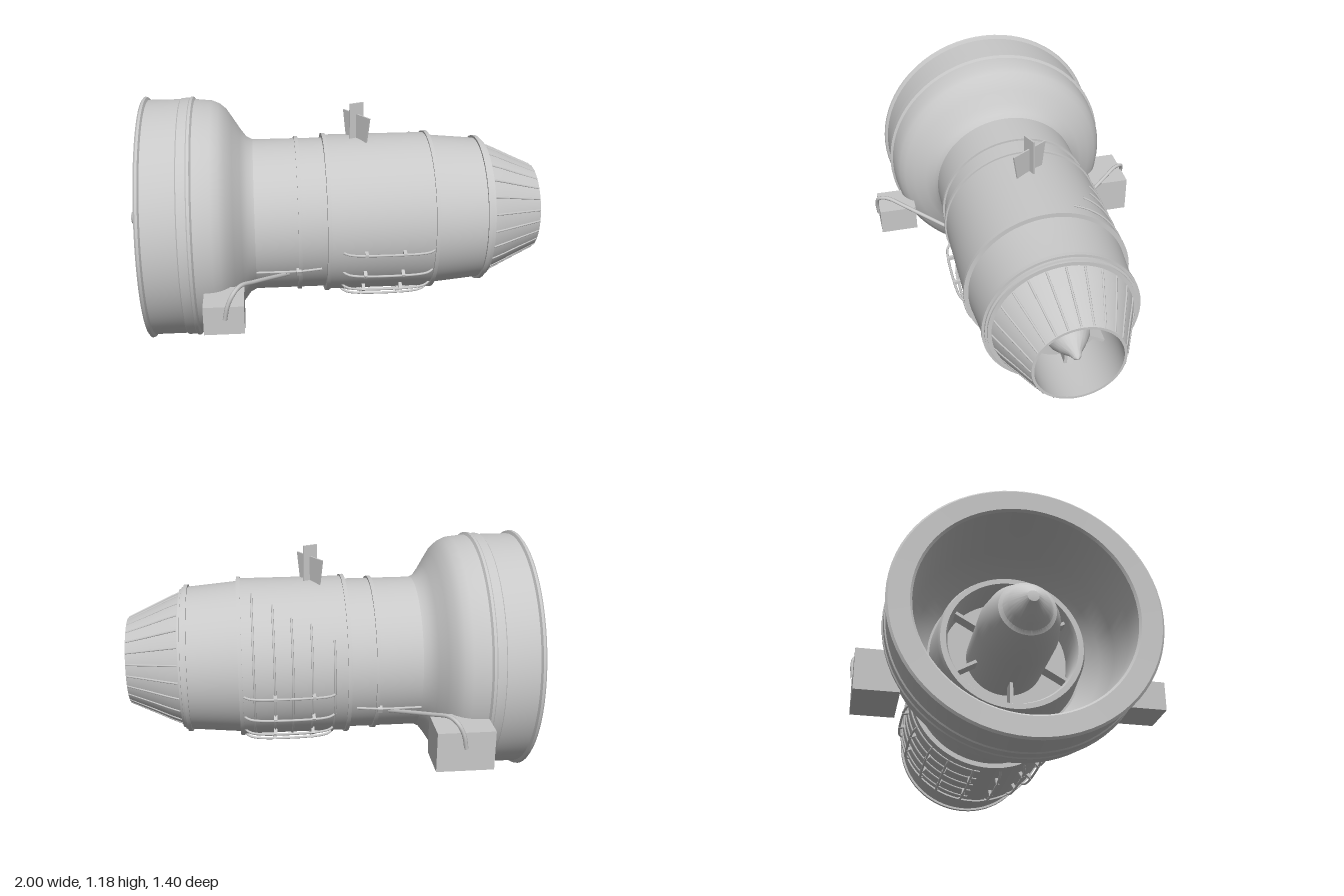
import * as THREE from 'three';
import { toCreasedNormals } from 'three/addons/utils/BufferGeometryUtils.js';

const AXIS = 0.59; // height of the engine axis
const metal = new THREE.MeshStandardMaterial({ color: 0xc8c8c8 });
metal.name = 'grey metal';
const sheet = new THREE.MeshStandardMaterial({ color: 0xc8c8c8, side: THREE.DoubleSide });
sheet.name = 'grey sheet metal';

// Point at station x, radius r, angle in degrees (0 = front side, 90 = top)
const polar = (x, r, deg) => {
  const a = THREE.MathUtils.degToRad(deg);
  return new THREE.Vector3(x, AXIS + r * Math.sin(a), r * Math.cos(a));
};

export function createModel() {
  const model = new THREE.Group();
  model.name = 'jetEngine';

  const add = (name, geometry, material = metal) => {
    const mesh = new THREE.Mesh(geometry, material);
    mesh.name = name;
    model.add(mesh);
    return mesh;
  };

  // Surface of revolution about the engine axis from [x, radius] pairs
  const turned = (name, profile) => {
    const pts = profile.map(([x, r]) => new THREE.Vector2(r, x));
    const g = new THREE.LatheGeometry(pts, 72);
    g.rotateZ(-Math.PI / 2).translate(0, AXIS, 0);
    return add(name, toCreasedNormals(g, 0.5));
  };

  const pipe = (name, points, radius, segments = 24) =>
    add(name, new THREE.TubeGeometry(new THREE.CatmullRomCurve3(points, false, 'centripetal'), segments, radius, 8));

  const ring = (name, x, r, width, height) => turned(name, [
    [x - width / 2, r - 0.02], [x - width / 2, r + height],
    [x + width / 2, r + height], [x + width / 2, r - 0.02],
  ]);

  // Box whose thickness points away from the axis
  const radialBox = (name, x, r, deg, lx, lr, lt) => {
    const mesh = add(name, new THREE.BoxGeometry(lx, lr, lt));
    mesh.position.copy(polar(x, r, deg));
    mesh.rotation.x = THREE.MathUtils.degToRad(90 - deg);
    return mesh;
  };

  // Intake duct and fan case
  turned('intakeDuct', [
    [-0.42, 0.02], [-0.42, 0.36], [-0.5, 0.43], [-0.6, 0.465],
    [-0.78, 0.475], [-0.895, 0.48], [-0.905, 0.49],
  ]);
  turned('fanCase', [
    [-0.905, 0.49], [-0.908, 0.58], [-0.9, 0.59], [-0.89, 0.587], [-0.883, 0.574],
    [-0.73, 0.574], [-0.725, 0.58], [-0.685, 0.58], [-0.68, 0.585], [-0.668, 0.585],
    [-0.66, 0.573], [-0.58, 0.565], [-0.545, 0.55], [-0.515, 0.525], [-0.485, 0.48],
    [-0.45, 0.425], [-0.42, 0.385], [-0.39, 0.37],
  ]);

  // Core casing
  turned('coreCasing', [
    [-0.39, 0.37], [-0.045, 0.37], [-0.04, 0.385], [0.455, 0.385], [0.46, 0.373],
    [0.715, 0.35], [0.735, 0.35], [0.74, 0.325],
  ]);
  ring('frontFlange', -0.18, 0.37, 0.018, 0.01);
  ring('middleFlange', -0.045, 0.385, 0.018, 0.008);
  ring('turbineFlange', 0.462, 0.38, 0.018, 0.013);
  ring('rearFlange', 0.715, 0.35, 0.018, 0.012);
  ring('nozzleFlange', 0.74, 0.325, 0.012, 0.016);

  // Exhaust nozzle with inner wall and rear bulkhead
  turned('nozzle', [
    [0.74, 0.325], [0.8, 0.3], [0.88, 0.262], [1, 0.208], [1, 0.196],
    [0.9, 0.2], [0.74, 0.2], [0.74, 0.145], [0.68, 0.14], [0.68, 0.02],
  ]);
  for (let i = 0; i < 24; i++) {
    const a = i * 15;
    pipe('nozzleRib', [polar(0.75, 0.321, a), polar(0.8, 0.3, a), polar(0.88, 0.262, a), polar(0.997, 0.208, a)], 0.005, 8);
  }

  // Exhaust cone and its struts
  turned('exhaustCone', [
    [0.66, 0.115], [0.78, 0.11], [0.84, 0.092], [0.89, 0.06], [0.93, 0.03], [0.96, 0.018], [0.975, 0],
  ]);
  for (let i = 0; i < 6; i++) radialBox('exhaustStrut', 0.77, 0.15, 30 + i * 60, 0.06, 0.1, 0.014);

  // Spinner, inner intake ring and struts
  turned('spinner', [
    [-1, 0], [-0.995, 0.025], [-0.965, 0.055], [-0.93, 0.09], [-0.9, 0.108],
    [-0.89, 0.125], [-0.82, 0.16], [-0.72, 0.18], [-0.42, 0.18],
  ]);
  turned('coreIntakeRing', [
    [-0.42, 0.29], [-0.58, 0.29], [-0.6, 0.3], [-0.6, 0.325], [-0.58, 0.335], [-0.42, 0.35],
  ]);
  for (let i = 0; i < 6; i++) radialBox('intakeStrut', -0.53, 0.24, 30 + i * 60, 0.06, 0.14, 0.015);

  // Lengthwise pipes under the core with their clamps
  for (const below of [8.5, 27, 46, 61, 80]) {
    for (const a of [-below, below - 180]) {
      pipe('fuelPipe', [
        polar(0.02, 0.38, a), polar(0.04, 0.398, a), polar(0.09, 0.41, a),
        polar(0.38, 0.41, a), polar(0.43, 0.398, a), polar(0.45, 0.38, a),
      ], 0.006);
      for (const x of [0.125, 0.305]) radialBox('pipeClamp', x, 0.4, a, 0.016, 0.036, 0.016);
    }
  }

  // Pipes wrapped round the back of the core
  for (const [x, top] of [[0.025, 150], [0.13, 138], [0.22, 133], [0.305, 122], [0.4, 110]]) {
    const points = [];
    for (let i = 0; i <= 20; i++) points.push(polar(x, 0.388, top + (265 - top) * i / 20));
    pipe('wrapPipe', points, 0.005, 48);
  }

  // Side boxes with hoses and surface pipes
  const sideBox = (side, x, y, z, w, h, d) => {
    const mesh = add('accessoryBox', new THREE.BoxGeometry(w, h, d));
    mesh.position.set(x, y, side * z);
    const hose = [
      [-0.53, 0.38, 0.685], [-0.515, 0.45, 0.69], [-0.49, 0.5, 0.68],
      [-0.46, 0.515, 0.635], [-0.4, 0.49, 0.55], [-0.24, 0.41, 0.32],
    ];
    pipe('accessoryHose', hose.map(([px, py, pz]) => new THREE.Vector3(px, py, side * pz)), 0.01, 40);
    const a = side > 0 ? -26 : 206;
    pipe('surfacePipe', [polar(-0.39, 0.372, a), polar(-0.19, 0.38, a + side * 1.5), polar(-0.08, 0.372, a + side * 2)], 0.006);
    radialBox('surfacePipeClamp', -0.19, 0.38, a + side * 1.5, 0.022, 0.03, 0.025);
  };
  sideBox(1, -0.535, 0.372, 0.587, 0.18, 0.135, 0.19);
  sideBox(-1, -0.53, 0.365, 0.59, 0.265, 0.19, 0.195);

  // Crossed mounting plates on top
  const plate = (name, bottom, top, height, x, turn) => {
    const shape = new THREE.Shape([
      new THREE.Vector2(-bottom, 0), new THREE.Vector2(bottom, 0),
      new THREE.Vector2(top, height), new THREE.Vector2(-top, height),
    ]);
    const g = new THREE.ExtrudeGeometry(shape, { depth: 0.008, bevelEnabled: false });
    g.translate(0, 0, -0.004);
    const mesh = add(name, g, sheet);
    mesh.position.set(x, 0.965, 0);
    mesh.rotation.y = turn;
  };
  plate('widePlate', 0.08, 0.103, 0.128, 0.113, -1.02);
  plate('tallPlate', 0.038, 0.036, 0.182, 0.112, 0.4);

  return model;
}
